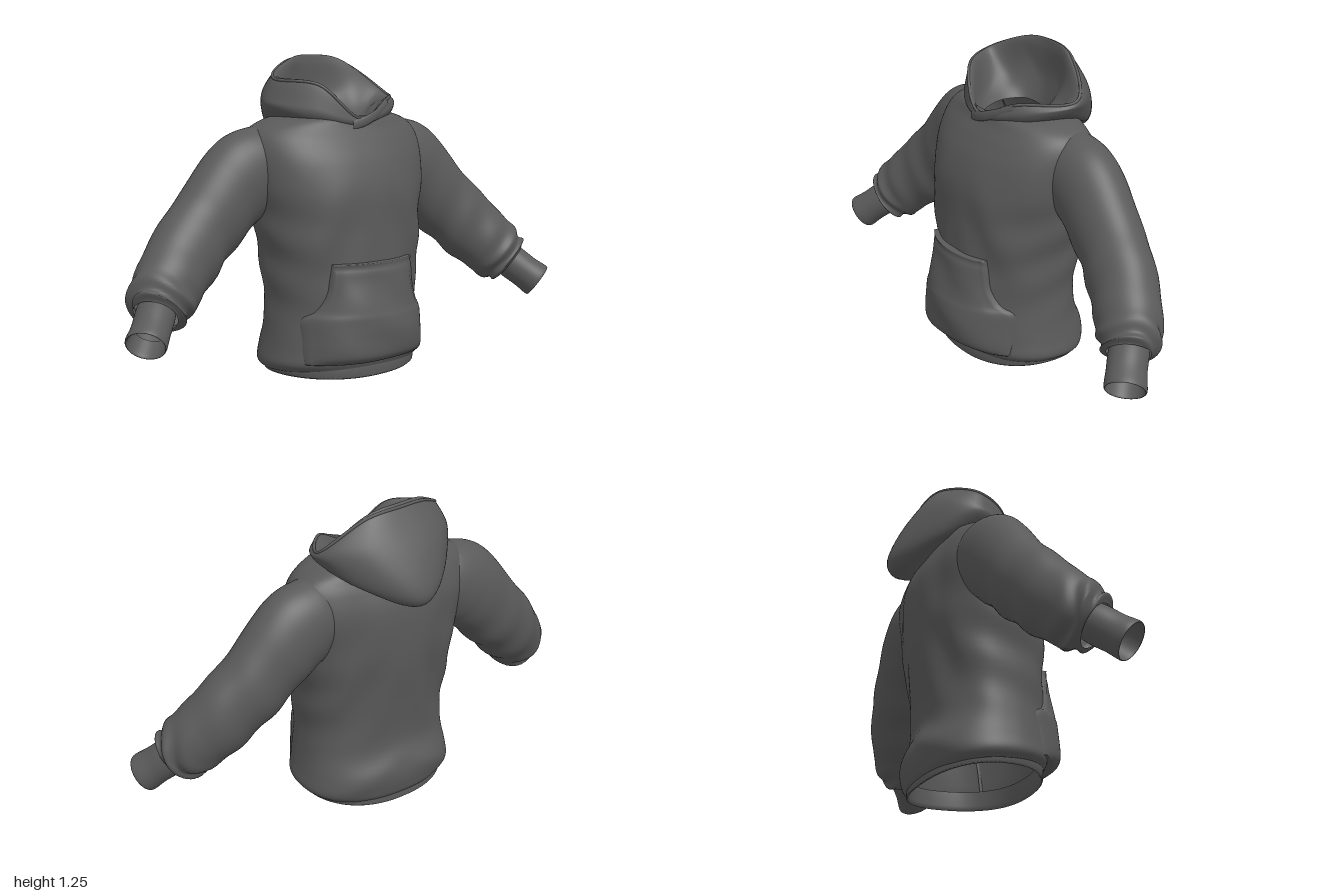
import * as THREE from 'three';

const cloth = new THREE.MeshStandardMaterial({ color: 0x5a5a5a, side: THREE.DoubleSide });
cloth.name = 'charcoal cloth';

// Smooth interpolation through rows of numbers, t in 0..1
function sample(keys, t, closed = false) {
  const n = keys.length, f = t * (closed ? n : n - 1);
  const i = closed ? Math.floor(f) : Math.min(Math.floor(f), n - 2), k = f - i;
  const at = (m) => (closed ? keys[(m + n) % n] : keys[Math.max(0, Math.min(n - 1, m))]);
  const [a, b, c, d] = [at(i - 1), at(i), at(i + 1), at(i + 2)];
  return b.map((v, q) => v + 0.5 * k * (c[q] - a[q]
    + k * (2 * a[q] - 5 * v + 4 * c[q] - d[q] + k * (3 * (v - c[q]) + d[q] - a[q]))));
}

// Skin between rings of [x, y, z] points
function loft(name, rings, closed = true, flip = false) {
  const cols = rings[0].length, index = [];
  for (let i = 0; i < rings.length - 1; i++) {
    for (let j = 0; j < (closed ? cols : cols - 1); j++) {
      const a = i * cols + j, b = i * cols + (j + 1) % cols, c = a + cols, d = b + cols;
      index.push(...(flip ? [a, c, b, b, c, d] : [a, b, c, b, d, c]));
    }
  }
  const geometry = new THREE.BufferGeometry();
  geometry.setAttribute('position', new THREE.Float32BufferAttribute(rings.flat(2), 3));
  geometry.setIndex(index);
  geometry.computeVertexNormals();
  const mesh = new THREE.Mesh(geometry, cloth);
  mesh.name = name;
  return mesh;
}

const steps = (n, fn) => Array.from({ length: n }, (_, i) => fn(i));
const bump = (x, c, w) => Math.exp(-(((x - c) / w) ** 2));

// Torso rows: y, half width, front z, back z, z of the side seam
const torsoKeys = [
  [0.045, 0.315, 0.262, -0.205, 0.02],
  [0.075, 0.34, 0.272, -0.218, 0.02],
  [0.14, 0.332, 0.272, -0.226, 0.02],
  [0.25, 0.318, 0.272, -0.192, 0.02],
  [0.42, 0.32, 0.275, -0.205, 0.01],
  [0.6, 0.345, 0.27, -0.23, -0.01],
  [0.74, 0.37, 0.264, -0.236, -0.03],
  [0.85, 0.388, 0.235, -0.23, -0.05],
  [0.93, 0.385, 0.195, -0.205, -0.06],
  [0.98, 0.355, 0.163, -0.18, -0.06],
  [1.012, 0.29, 0.148, -0.17, -0.05],
  [1.025, 0.22, 0.135, -0.165, -0.04],
];
const E = 2.3;
const power = (v) => Math.sign(v) * Math.abs(v) ** (2 / E);

function ringOf([y, w, zf, zb, z0], n = 96) {
  return steps(n, (j) => {
    const a = (j / n) * Math.PI * 2, c = power(Math.cos(a));
    return [w * power(Math.sin(a)), y, z0 + c * (c > 0 ? zf - z0 : z0 - zb)];
  });
}

function torso() {
  const rings = steps(73, (i) => ringOf(sample(torsoKeys, i / 72)));
  // Soft drapes at mid height, a sag in the back, and a lower edge that dips behind
  for (const p of rings.flat()) {
    const [x, y, z] = p, ax = Math.abs(x), mid = bump(y, 0.5, 0.25);
    p[2] += 0.007 * mid * Math.sin(ax * 26 + y * 14) * Math.max(-1, Math.min(1, z * 8)) * Math.min(1, ax * 6);
    if (z < 0) {
      const back = Math.min(1, -z * 8);
      p[2] += back * (0.014 * bump(ax, 0.19, 0.06) * bump(y, 0.62, 0.25) - 0.008 * bump(y + ax * 0.4, 0.2, 0.04));
    }
    p[0] += 0.006 * Math.sin(y * 34 + z * 9) * (x / 0.35) * mid;
    p[1] += 0.09 * z * bump(y, 0.05, 0.09);
  }
  return loft('body', rings);
}

// Narrow band tucked under the body, lower at the back and raised at the sides
function hem() {
  const rows = [[0.09, 0.3, 0.245, -0.19], [0.03, 0.296, 0.25, -0.198], [0.0106, 0.3, 0.256, -0.204],
    [0.016, 0.308, 0.262, -0.21], [0.05, 0.314, 0.262, -0.205], [0.085, 0.31, 0.255, -0.2]];
  const rings = rows.map((r) => ringOf([...r, 0.02]));
  for (const p of rings.flat()) p[1] += 0.05 * p[2] + 0.018 * (p[0] / 0.3) ** 2;
  return loft('hemBand', rings);
}

// Front of the torso at x, y
function torsoFront(x, y) {
  let lo = 0, hi = 1;
  for (let i = 0; i < 24; i++) {
    const m = (lo + hi) / 2;
    if (sample(torsoKeys, m)[0] < y) lo = m; else hi = m;
  }
  const [, w, zf, , z0] = sample(torsoKeys, lo);
  return z0 + (zf - z0) * Math.max(0, 1 - Math.abs(x / w) ** E) ** (1 / E);
}

// Pocket rows: y, half width, puff
const pocketKeys = [[0.095, 0.272, 0.014], [0.125, 0.275, 0.052], [0.2, 0.274, 0.06], [0.265, 0.272, 0.054],
  [0.3, 0.232, 0.046], [0.36, 0.2, 0.034], [0.42, 0.188, 0.02], [0.48, 0.18, 0.01]];

function pocket() {
  const R = 44, C = 40;
  const rings = steps(R + 1, (i) => {
    const v = Math.max(0, Math.min(1, (i - 1) / (R - 2)));
    const [y, w, puff] = sample(pocketKeys, v);
    return steps(C + 1, (j) => {
      const u = Math.max(-1, Math.min(1, ((j - 1) / (C - 2)) * 2 - 1));
      const edge = i === 0 || j === 0 || i === R || j === C;
      const x = u * w - 0.005;
      const groove = 0.006 * (bump(Math.abs(u), 0.92, 0.025) + bump(v, 0.95, 0.02));
      const off = 0.013 + puff * (1 - u ** 4) + 0.004 * Math.sin(x * 14 + y * 30) * (1 - u * u) - groove;
      return [x, y, torsoFront(x, y) + (edge ? -0.012 : off)];
    });
  });
  return loft('frontPocket', rings, false);
}

// Rows along an arm: x, y, z, half height, half depth
const sleeveKeys = [
  [0.25, 0.868, -0.056, 0.12, 0.1], [0.31, 0.848, -0.058, 0.15, 0.122], [0.38, 0.81, -0.058, 0.17, 0.128],
  [0.45, 0.755, -0.056, 0.165, 0.127], [0.55, 0.655, -0.047, 0.152, 0.122], [0.655, 0.555, -0.025, 0.148, 0.122],
  [0.75, 0.46, 0.015, 0.138, 0.122], [0.81, 0.4, 0.05, 0.128, 0.115], [0.845, 0.362, 0.078, 0.112, 0.105],
  [0.858, 0.348, 0.09, 0.085, 0.08],
];
const cuffKeys = [
  [0.84, 0.375, 0.07, 0.068, 0.072], [0.868, 0.345, 0.1, 0.072, 0.074], [0.905, 0.307, 0.137, 0.07, 0.074],
  [0.94, 0.273, 0.168, 0.074, 0.078], [0.941, 0.271, 0.17, 0.068, 0.07], [0.9, 0.312, 0.132, 0.062, 0.066],
];

function arm(name, keys, side, rows, wrinkle) {
  const V = (t) => new THREE.Vector3(...sample(keys, t));
  const cuff = wrinkle === 0;
  const axis = V(0.6).sub(V(0)).normalize();
  const rings = steps(rows + 1, (i) => {
    const t = i / rows, [, , , h, d] = sample(keys, t), c = V(t);
    const tan = cuff ? axis : V(Math.min(1, t + 0.01)).sub(V(Math.max(0, t - 0.01))).normalize();
    const b = new THREE.Vector3(0, 0, 1).addScaledVector(tan, -tan.z).normalize();
    const n = b.clone().cross(tan);
    return steps(48, (j) => {
      const a = (j / 48) * Math.PI * 2;
      // Folds gather toward the elbow and bunch above the cuff
      const fold = wrinkle * (bump(t, 0.55, 0.18) * Math.sin(t * 46 + 2.2 * Math.sin(a + 0.6)) * (0.6 - 0.4 * Math.cos(a))
        + 1.8 * bump(t, 0.86, 0.1) * Math.sin(t * 40 + 3 * Math.sin(a) + 2 * Math.cos(2 * a)));
      const p = c.clone().addScaledVector(n, Math.cos(a) * (h + fold)).addScaledVector(b, Math.sin(a) * (d + fold));
      return [p.x * side, p.y, p.z];
    });
  });
  return loft(name, rings, true, side < 0);
}

// Half rows of the hood, front to back: neck seam, outer bulge, rim, inside
const hoodHalf = [
  [[0, 0.985, 0.148], [0.15, 1, 0.1], [0.235, 1.01, -0.04], [0.16, 0.985, -0.15], [0, 0.95, -0.185]],
  [[0, 0.993, 0.158], [0.185, 1.015, 0.095], [0.28, 1.035, -0.05], [0.19, 0.96, -0.21], [0, 0.88, -0.29]],
  [[0, 1.002, 0.163], [0.198, 1.04, 0.1], [0.305, 1.065, -0.07], [0.185, 1.01, -0.245], [0, 0.93, -0.342]],
  [[0, 1.01, 0.163], [0.195, 1.06, 0.1], [0.31, 1.08, -0.08], [0.19, 1.11, -0.22], [0, 1.075, -0.29]],
  [[0, 1.018, 0.158], [0.175, 1.08, 0.098], [0.3, 1.095, -0.085], [0.15, 1.215, -0.17], [0, 1.238, -0.185]],
  [[0, 1.012, 0.148], [0.155, 1.07, 0.085], [0.27, 1.09, -0.08], [0.14, 1.205, -0.15], [0, 1.222, -0.165]],
  [[0, 1, 0.142], [0.115, 1.03, 0.08], [0.19, 1.05, -0.06], [0.12, 1.1, -0.14], [0, 1.1, -0.165]],
  [[0, 0.975, 0.135], [0.075, 0.99, 0.08], [0.11, 1, -0.02], [0.08, 1, -0.11], [0, 0.99, -0.135]],
];
// The right half stands higher and narrower
const hoodKeys = hoodHalf.map((row, i) => {
  const lift = bump(i, 4.5, 1.3);
  const right = row.slice(1, 4).reverse().map(([x, y, z]) => [
    -x * (0.93 - 0.1 * lift), y + 0.09 * lift * bump(y, 1.11, 0.08), z + 0.03 * lift * bump(z, -0.1, 0.1)]);
  return [...row, ...right];
});

function hood() {
  const columns = steps(72, (j) => hoodKeys.map((row) => sample(row, j / 72, true)));
  const rings = steps(57, (i) => columns.map((col, j) => {
    const p = sample(col, i / 56);
    // Gentle creases on the inner lining
    p[1] += 0.01 * bump(i / 56, 0.84, 0.08) * Math.sin((j / 72) * Math.PI * 14);
    return p;
  }));
  return loft('hood', rings);
}

// Stitched edge round the hood opening
function hoodRim() {
  const curve = new THREE.CatmullRomCurve3(hoodKeys[4].map((p) => new THREE.Vector3(...p)), true);
  const mesh = new THREE.Mesh(new THREE.TubeGeometry(curve, 96, 0.006, 8, true), cloth);
  mesh.name = 'hoodRim';
  return mesh;
}

// Crossed flap where the hood closes under the chin
function collarFlap() {
  const rows = [[-0.035, 0.992, 0.157], [0.03, 1.008, 0.16], [0.1, 1.033, 0.142], [0.17, 1.06, 0.108]];
  const rings = steps(17, (i) => {
    const [x, y, z] = sample(rows, i / 16);
    return steps(12, (j) => {
      const a = (j / 12) * Math.PI * 2;
      return [x, y + 0.02 * Math.cos(a), z + 0.008 * Math.sin(a)];
    });
  });
  return loft('collarFlap', rings);
}

export function createModel() {
  const model = new THREE.Group();
  model.name = 'hoodedSweatshirt';
  model.add(torso(), hem(), pocket(), hood(), hoodRim(), collarFlap());
  for (const [label, side] of [['left', 1], ['right', -1]]) {
    model.add(arm(label + 'Sleeve', sleeveKeys, side, 72, 0.006), arm(label + 'Cuff', cuffKeys, side, 20, 0));
  }
  return model;
}
